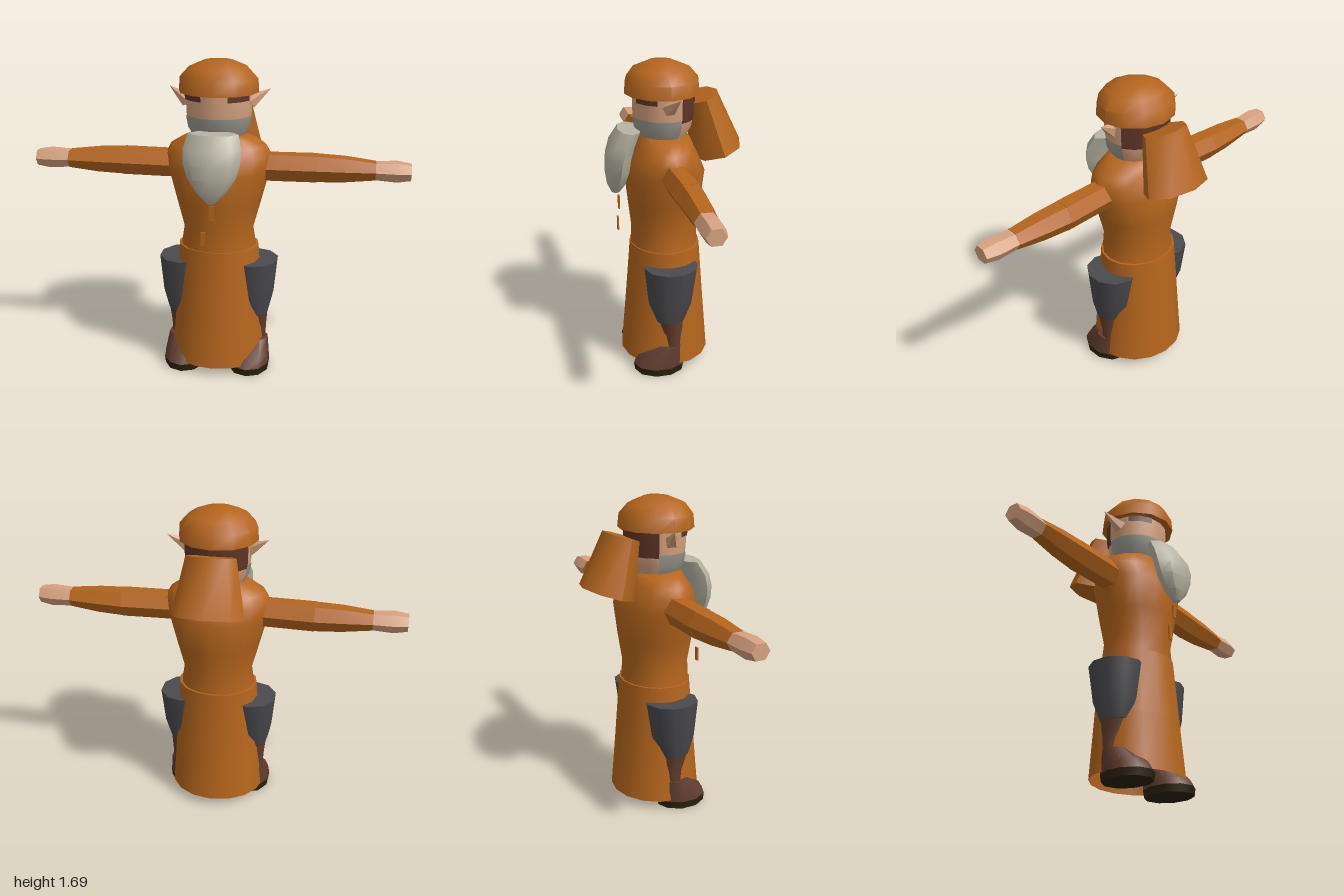
import * as THREE from 'three';
import { toCreasedNormals } from 'three/addons/utils/BufferGeometryUtils.js';

const COLORS = {
  orangeCloth: 0xb5651d, skin: 0xd6a280, beardGrey: 0xb8b4a4, stubbleGrey: 0x9c9a90,
  hairBrown: 0x603627, trouserGrey: 0x4a4a4f, bootBrown: 0x613c2e, soleDark: 0x2b200f,
};

// Skin elliptical cross-sections [y, rx, rz, cx, cz], listed from low to high.
// Angle 0 points to +z and grows towards +x; a partial sweep makes a thin shell.
function loft(levels, n, { start = 0, end = 360, bottom = true, top = true, crease = 0.8 } = {}) {
  const pos = [];
  const point = ([y, rx, rz, cx = 0, cz = 0], i) => {
    const a = THREE.MathUtils.degToRad(start + (end - start) * i / n);
    return [cx + rx * Math.sin(a), y, cz + rz * Math.cos(a)];
  };
  const full = end - start === 360;
  const first = levels[0], last = levels[levels.length - 1];
  const middle = ([y, , , cx = 0, cz = 0]) => [cx, y, cz];
  for (let i = 0; i < n; i++) {
    for (let j = 0; j + 1 < levels.length; j++) {
      const a = point(levels[j], i), b = point(levels[j], i + 1);
      const c = point(levels[j + 1], i + 1), d = point(levels[j + 1], i);
      pos.push(...a, ...b, ...c, ...a, ...c, ...d);
    }
    if (full && bottom) pos.push(...middle(first), ...point(first, i + 1), ...point(first, i));
    if (full && top) pos.push(...middle(last), ...point(last, i), ...point(last, i + 1));
  }
  const g = new THREE.BufferGeometry();
  g.setAttribute('position', new THREE.Float32BufferAttribute(pos, 3));
  return toCreasedNormals(g, crease);
}

export function createModel() {
  const model = new THREE.Group();
  model.name = 'robedFigure';
  const mats = {};
  for (const [name, color] of Object.entries(COLORS)) {
    mats[name] = new THREE.MeshStandardMaterial({ color });
    mats[name].name = name;
  }
  mats.orangeCloth.side = THREE.DoubleSide; // open skirt
  const add = (name, geometry, mat) => {
    const mesh = new THREE.Mesh(geometry, mats[mat]);
    mesh.name = name;
    model.add(mesh);
    return mesh;
  };

  // Robe: fitted upper part and flared open skirt
  add('robeTorso', loft([
    [0.66, 0.21, 0.183, 0, 0.05], [0.8, 0.188, 0.178, 0, 0.052], [0.95, 0.228, 0.197, 0, 0.05],
    [1.12, 0.272, 0.215, 0, 0.05], [1.2, 0.282, 0.18, 0, 0.05], [1.25, 0.255, 0.155, 0, 0.05],
    [1.29, 0.19, 0.138, 0, 0.05], [1.31, 0.14, 0.107, 0, 0.07],
  ], 16, { bottom: false }), 'orangeCloth');
  add('robeSkirt', loft([
    [0.05, 0.264, 0.243, 0, 0.052], [0.35, 0.242, 0.217, 0, 0.05], [0.7, 0.217, 0.189, 0, 0.048],
  ], 16, { bottom: false }), 'orangeCloth');

  // Toggles in front of the chest
  for (const [x, y] of [[0, 0.94], [-0.043, 0.8]]) {
    const toggle = add('toggle', new THREE.BoxGeometry(0.025, 0.075, 0.008), 'orangeCloth');
    toggle.position.set(x, y, 0.295);
  }

  // Head, with hair, brows and stubble as thin shells on it
  const head = (y0, y1, grow = 0) => {
    const profile = [[1.28, 0.12, 0.105], [1.35, 0.16, 0.148], [1.42, 0.172, 0.16], [1.55, 0.176, 0.163]];
    const at = (y) => {
      let k = 0;
      while (k < 2 && y > profile[k + 1][0]) k++;
      const [p, q] = [profile[k], profile[k + 1]];
      const t = (y - p[0]) / (q[0] - p[0]);
      return [y, p[1] + t * (q[1] - p[1]) + grow, p[2] + t * (q[2] - p[2]) + grow, 0, 0.052];
    };
    return [y0, ...profile.map((p) => p[0]).filter((y) => y > y0 && y < y1), y1].map(at);
  };
  add('head', loft(head(1.28, 1.55), 16), 'skin');
  add('stubble', loft(head(1.29, 1.41, 0.005), 10, { start: -112.5, end: 112.5 }), 'stubbleGrey');
  add('hair', loft(head(1.395, 1.545, 0.006), 6, { start: 112.5, end: 247.5 }), 'hairBrown');
  for (const s of [-1, 1]) {
    const [start, end] = s > 0 ? [22.5, 67.5] : [-67.5, -22.5];
    add('brow', loft(head(1.495, 1.545, 0.006), 2, { start, end }), 'hairBrown');
  }

  // Pointed ears
  for (const s of [-1, 1]) {
    const base = new THREE.Vector3(s * 0.163, 1.478, 0.058), tip = new THREE.Vector3(s * 0.268, 1.545, 0.02);
    const dir = tip.clone().sub(base);
    const ear = add('ear', new THREE.ConeGeometry(0.04, dir.length(), 5).toNonIndexed(), 'skin');
    ear.geometry.computeVertexNormals();
    ear.position.copy(base).add(tip).multiplyScalar(0.5);
    ear.quaternion.setFromUnitVectors(new THREE.Vector3(0, 1, 0), dir.normalize());
  }

  // Cap
  add('cap', loft([
    [1.53, 0.21, 0.2, 0, 0.055], [1.6, 0.205, 0.193, 0, 0.056],
    [1.655, 0.155, 0.15, 0, 0.06], [1.69, 0.075, 0.065, 0, 0.06],
  ], 12), 'orangeCloth');

  // Long beard
  add('beard', loft([
    [1.0, 0.022, 0.022, 0, 0.31], [1.05, 0.075, 0.05, 0, 0.306], [1.13, 0.125, 0.068, 0, 0.3],
    [1.2, 0.146, 0.071, 0, 0.294], [1.27, 0.149, 0.07, 0, 0.275], [1.345, 0.13, 0.06, 0, 0.235],
  ], 8), 'beardGrey');

  // Hood hanging down the back
  const hood = add('hood', loft([[-0.152, 0.19, 0.14], [0.152, 0.13, 0.092]], 8), 'orangeCloth');
  hood.position.set(0, 1.353, -0.192);
  hood.rotation.x = 0.29;

  // Arms held straight out, six-sided, with bare hands
  for (const s of [-1, 1]) {
    const limb = (name, levels, mat) => {
      const mesh = add(name, loft(levels, 6), mat);
      mesh.geometry.rotateZ(-s * Math.PI / 2);
      mesh.position.y = 1.137;
    };
    limb('upperSleeve', [[0.2, 0.08, 0.075, 0, 0.045], [0.3, 0.08, 0.077, 0, 0.045],
      [0.52, 0.08, 0.08, 0, 0.037]], 'orangeCloth');
    limb('lowerSleeve', [[0.52, 0.078, 0.079, 0, 0.037], [0.66, 0.072, 0.072, 0, 0.04],
      [0.82, 0.052, 0.06, 0, 0.045]], 'orangeCloth');
    limb('hand', [[0.8, 0.049, 0.058, 0, 0.045], [0.93, 0.058, 0.062, 0, 0.047],
      [1.0, 0.046, 0.05, 0, 0.05]], 'skin');
  }

  // Legs: trouser, shin, boot and sole
  for (const s of [-1, 1]) {
    const leg = (name, levels, mat) =>
      add(name, loft(levels.map(([y, rx, rz, cx, cz]) => [y, rx, rz, s * cx, cz]), 10), mat);
    leg('trouser', [[0.31, 0.083, 0.083, 0.195, 0.065], [0.42, 0.115, 0.122, 0.192, 0.058],
      [0.62, 0.138, 0.147, 0.189, 0.053]], 'trouserGrey');
    leg('shin', [[0.13, 0.075, 0.055, 0.19, 0.05], [0.22, 0.078, 0.058, 0.19, 0.052],
      [0.33, 0.083, 0.08, 0.195, 0.065]], 'bootBrown');
    leg('boot', [[0.04, 0.114, 0.145, 0.18, 0.12], [0.08, 0.111, 0.132, 0.18, 0.11],
      [0.16, 0.095, 0.078, 0.185, 0.07]], 'bootBrown');
    leg('sole', [[0, 0.112, 0.138, 0.18, 0.12], [0.04, 0.116, 0.145, 0.18, 0.12]], 'soleDark');
  }
  return model;
}
